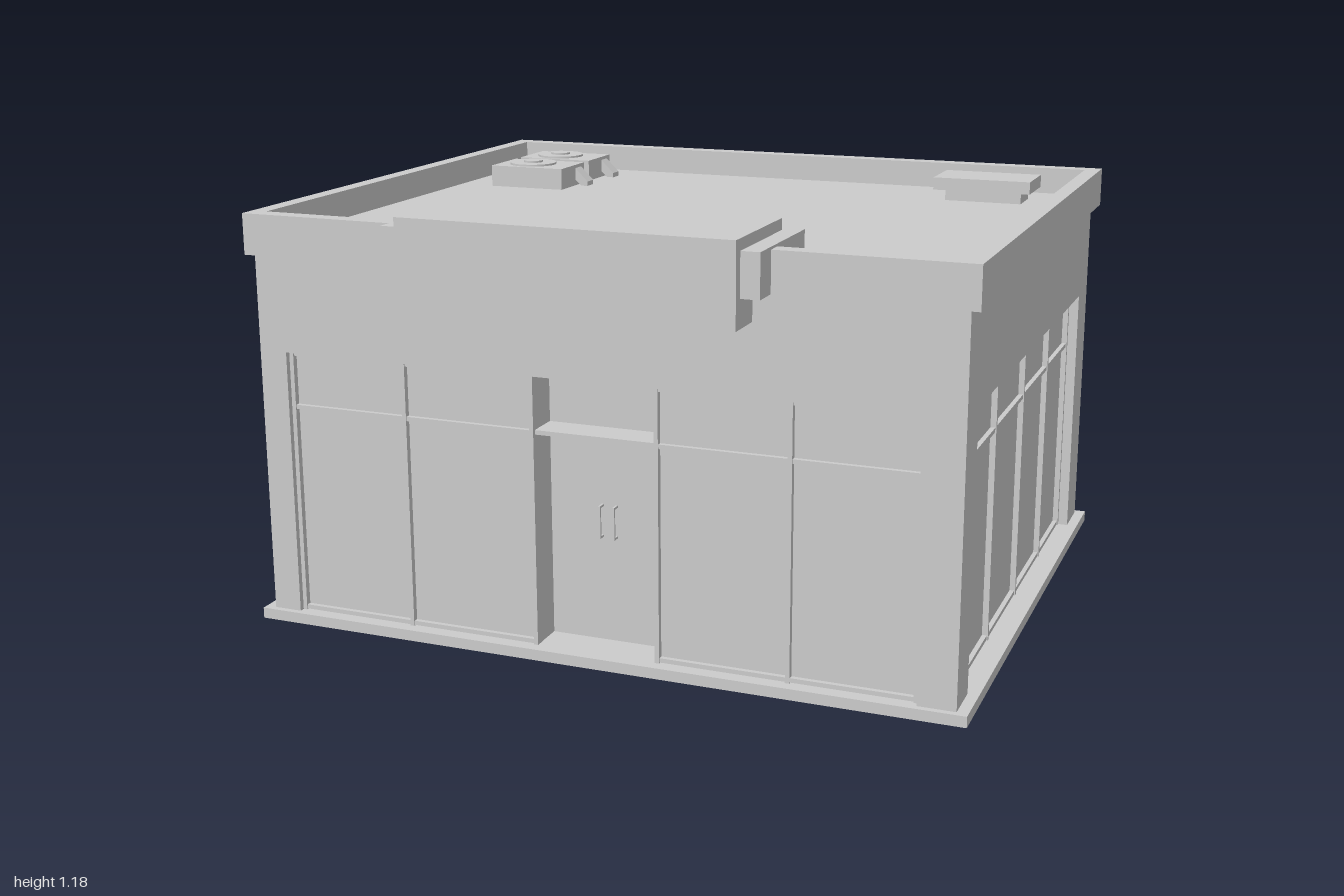
import * as THREE from 'three';

const mat = new THREE.MeshStandardMaterial({ color: 0xcccccc });
const WALL = 0.08, FLOOR = 0.028, HEAD = 0.77, TRANSOM = 0.615, ROOF = 1.065, T = 0.006;

function add(parent, name, geometry) {
  const mesh = new THREE.Mesh(geometry, mat);
  mesh.name = name;
  parent.add(mesh);
  return mesh;
}

// Box given by its extents along each axis
function box(parent, name, x0, x1, y0, y1, z0, z1) {
  const mesh = add(parent, name, new THREE.BoxGeometry(x1 - x0, y1 - y0, z1 - z0));
  mesh.position.set((x0 + x1) / 2, (y0 + y1) / 2, (z0 + z1) / 2);
  return mesh;
}

function rect(Type, x0, x1, y0, y1) {
  const s = new Type();
  s.moveTo(x0, y0);
  s.lineTo(x1, y0);
  s.lineTo(x1, y1);
  s.lineTo(x0, y1);
  s.closePath();
  return s;
}

// Rectangular plate with a rectangular hole, extruded along z
function ring(outer, inner, depth) {
  const shape = rect(THREE.Shape, ...outer);
  shape.holes.push(rect(THREE.Path, ...inner));
  return new THREE.ExtrudeGeometry(shape, { depth, bevelEnabled: false });
}

// Horizontal rim around the building, standing on height y
function rim(parent, name, outer, inner, y, height) {
  const mesh = add(parent, name, ring(outer, inner, height));
  mesh.rotation.x = -Math.PI / 2;
  mesh.position.y = y;
}

// Wall whose outer face is z = 0, with a glazed opening set back by recess; posts run jamb to jamb
function facade(parent, name, x0, x1, posts, recess, doorBay = -1) {
  const g = new THREE.Group();
  g.name = name;
  parent.add(g);
  const last = posts.length - 1;
  add(g, 'wall', ring([x0, x1, 0.024, 1.04], [posts[0], posts[last], FLOOR, HEAD], WALL)).position.z = -WALL;
  posts.forEach((p, i) => {
    const c = i === 0 ? p + T : i === last ? p - T : p;
    box(g, 'windowPost', c - T, c + T, FLOOR, HEAD, -recess - 0.03, -recess);
  });
  for (let i = 0; i < last; i++) {
    if (i === doorBay) continue;
    const l = posts[i], r = posts[i + 1];
    box(g, 'glass', l, r, FLOOR, HEAD, -recess - 0.035, -recess - 0.016);
    for (const y of [0.032 + T, TRANSOM, HEAD - T])
      box(g, 'windowRail', l + T, r - T, y - T, y + T, -recess - 0.025, -recess - 0.003);
  }
  return g;
}

// Recessed entrance with two leaves and pull handles
function entrance(parent, x0, x1) {
  const g = new THREE.Group();
  g.name = 'entrance';
  parent.add(g);
  const back = -0.118, mid = (x0 + x1) / 2;
  for (const x of [x0, x1])
    box(g, 'alcoveSide', x - 0.005, x + 0.005, FLOOR, HEAD, back - 0.01, -0.03);
  box(g, 'alcoveCeiling', x0, x1, HEAD, HEAD + 0.01, back - 0.01, -WALL);
  box(g, 'transomShelf', x0, x1, TRANSOM - T, TRANSOM + T, back, -0.025);
  box(g, 'fanlight', x0, x1, TRANSOM, HEAD, back - 0.015, back);
  box(g, 'fanlightRail', x0 + T, x1 - T, HEAD - 2 * T, HEAD, back, back + 0.012);
  for (const s of [-1, 1]) {
    const l = s < 0 ? x0 : mid, r = s < 0 ? mid : x1;
    box(g, 'doorLeaf', l, r, FLOOR, TRANSOM, back - 0.015, back);
    const hx = mid + s * 0.02;
    box(g, 'doorHandle', hx - 0.003, hx + 0.003, 0.32, 0.41, back + 0.018, back + 0.024);
    for (const y of [0.323, 0.407])
      box(g, 'handleMount', hx - 0.003, hx + 0.003, y - 0.003, y + 0.003, back, back + 0.02);
  }
}

// Rooftop cooler with a round fan and a sloping outlet
function cooler(parent, z0, z1) {
  const g = new THREE.Group();
  g.name = 'roofCooler';
  parent.add(g);
  const top = 1.13;
  box(g, 'coolerCase', -0.84, -0.597, ROOF - 0.01, top, z0, z1);
  for (const [name, radius, height] of [['coolerFan', 0.073, 0.006], ['fanHub', 0.03, 0.012]])
    add(g, name, new THREE.CylinderGeometry(radius, radius, height, 32))
      .position.set(-0.735, top + height / 2, (z0 + z1) / 2);
  const wedge = new THREE.Shape([[0, -0.012], [0.02, -0.03], [0.042, -0.03], [0.042, -0.016], [0, 0.025]]
    .map(([x, y]) => new THREE.Vector2(x, y)));
  add(g, 'coolerOutlet', new THREE.ExtrudeGeometry(wedge, { depth: 0.044, bevelEnabled: false }))
    .position.set(-0.597, 1.095, z0 + 0.022);
}

export function createModel() {
  const model = new THREE.Group();
  model.name = 'shopBuilding';

  // Floor slab inside a low plinth, hollow underneath
  rim(model, 'basePlinth', [-1, 1, -0.786, 0.887], [-0.985, 0.985, -0.771, 0.872], 0, 0.03);
  box(model, 'floorSlab', -0.99, 0.99, 0.022, 0.0299, -0.88, 0.78);

  // Four walls with their windows
  const front = facade(model, 'frontFacade', -0.97, 0.97, [-0.89, -0.545, -0.172, 0.175, 0.53, 0.87], 0.015, 2);
  front.position.z = 0.769;
  entrance(front, -0.172, 0.175);
  const rear = facade(model, 'rearFacade', -0.97, 0.97, [-0.88, -0.545, 0, 0.55, 0.88], 0.018);
  rear.rotation.y = Math.PI;
  rear.position.z = -0.868;
  const sidePosts = [-0.652, -0.29, 0.067, 0.41, 0.73];
  const left = facade(model, 'leftFacade', -0.689, 0.788, sidePosts, 0.028);
  left.rotation.y = Math.PI / 2;
  left.position.x = 0.97;
  const right = facade(model, 'rightFacade', -0.788, 0.689, sidePosts.map(p => -p).reverse(), 0.028);
  right.rotation.y = -Math.PI / 2;
  right.position.x = -0.97;

  // Roof deck inside a raised parapet
  box(model, 'roofDeck', -0.96, 0.96, 1.035, ROOF, -0.85, 0.75);
  rim(model, 'parapet', [-0.995, 0.995, -0.78, 0.886], [-0.95, 0.95, -0.733, 0.836], 1.031, 0.112);

  // Blank sign over the entrance
  box(model, 'signBacking', -0.53, 0.485, 1.035, 1.15, 0.52, 0.857);
  box(model, 'signBox', -0.475, 0.435, 0.961, 1.18, 0.55, 0.886);

  // Rooftop equipment
  cooler(model, -0.732, -0.566);
  cooler(model, -0.528, -0.358);
  box(model, 'roofVentBase', 0.575, 0.805, ROOF - 0.01, 1.105, -0.7, -0.59);
  box(model, 'roofVentCap', 0.545, 0.837, 1.1, 1.137, -0.727, -0.558);

  return model;
}
